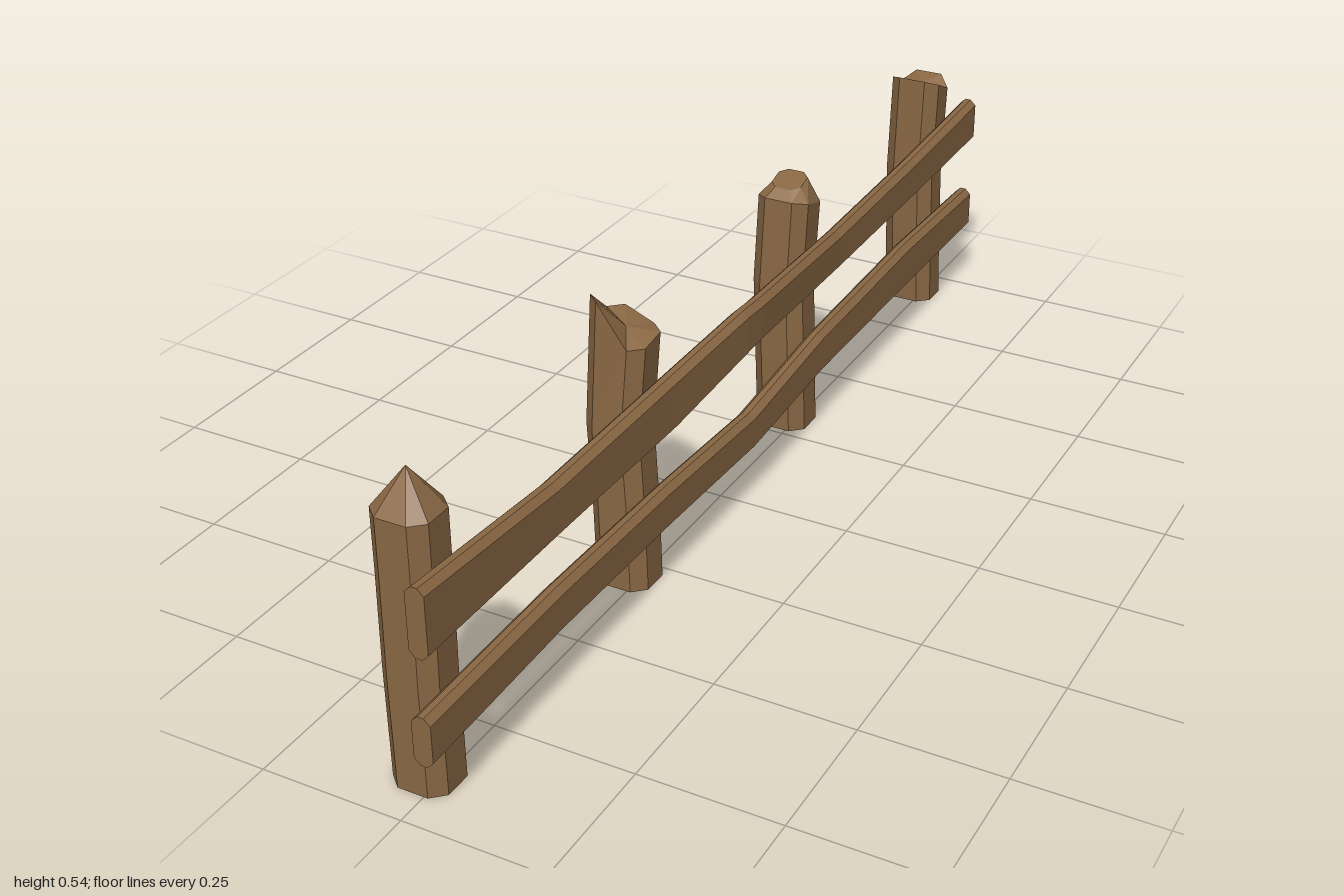
import * as THREE from 'three';

const wood = new THREE.MeshStandardMaterial({
  color: 0x8a6844, roughness: 0.9, flatShading: true, side: THREE.DoubleSide,
});

// Skin a list of equal-length rings; a cap is the fan centre, or null for an open end
function loft(rings, startCap, endCap) {
  const n = rings[0].length;
  const pos = [];
  const tri = (...points) => points.forEach((p) => pos.push(...p));
  for (let j = 0; j < n; j++) {
    const k = (j + 1) % n;
    for (let i = 0; i + 1 < rings.length; i++) {
      const a = rings[i], b = rings[i + 1];
      tri(a[j], a[k], b[k]);
      tri(a[j], b[k], b[j]);
    }
    const first = rings[0], last = rings[rings.length - 1];
    if (startCap) tri(startCap, first[k], first[j]);
    if (endCap) tri(endCap, last[j], last[k]);
  }
  const geometry = new THREE.BufferGeometry();
  geometry.setAttribute('position', new THREE.Float32BufferAttribute(pos, 3));
  geometry.computeVertexNormals();
  return geometry;
}

const centroid = (ring) => [0, 1, 2].map((a) => ring.reduce((s, p) => s + p[a], 0) / ring.length);

// Square section with cut corners
const section = [
  [0.05, 0.027], [0.05, -0.027], [0.027, -0.05], [-0.027, -0.05],
  [-0.05, -0.027], [-0.05, 0.027], [-0.027, 0.05], [0.027, 0.05],
];

// path: [y, x offset, z offset] up the trunk; the cut top follows topHeight(x, z)
function post(name, z, { path, topHeight, depth = 0.046, inset, tip }) {
  const ring = ([y, dx, dz], scale = 1, height = null) => section.map(([sx, sz]) => [
    -0.02 + dx + sx * scale,
    height ? height(sx, sz) : y,
    z + dz + sz * scale * depth / 0.05,
  ]);
  const last = path[path.length - 1];
  const rings = path.map((p, i) => ring(p, 1, i === path.length - 1 ? topHeight : null));
  if (inset) rings.push(ring(last, inset.scale, inset.height));
  const cap = centroid(rings[rings.length - 1]);
  if (tip) cap[1] = tip;
  const mesh = new THREE.Mesh(loft(rings, null, cap), wood);
  mesh.name = name;
  return mesh;
}

// stations: [z, bottom, top, x centre], in order of rising z
function rail(name, stations) {
  const w = 0.0165, c = 0.011;
  const rings = stations.map(([z, lo, hi, x]) => [
    [x + w, lo + c, z], [x + w, hi - c, z], [x + w - c, hi, z], [x - w + c, hi, z],
    [x - w, hi - c, z], [x - w, lo + c, z], [x - w + c, lo, z], [x + w - c, lo, z],
  ]);
  const mesh = new THREE.Mesh(loft(rings, centroid(rings[0]), centroid(rings[rings.length - 1])), wood);
  mesh.name = name;
  return mesh;
}

export function createModel() {
  const fence = new THREE.Group();
  fence.name = 'fence';

  // Posts, each with its own cut top
  fence.add(
    post('pointedPost', 0.895, {
      path: [[0, 0, 0], [0.2, -0.002, 0], [0.37, 0, 0], [0.475, 0, 0]],
      topHeight: () => 0.475,
      tip: 0.543,
    }),
    post('splinteredPost', 0.295, {
      path: [[0, 0, 0], [0.15, -0.003, 0.001], [0.3, -0.01, 0.002], [0.47, 0.001, -0.004]],
      topHeight: (x, z) => (x > 0 ? (z > 0 ? 0.46 : 0.468) : z > 0 ? 0.535 : 0.49),
      tip: 0.478,
    }),
    post('bluntPost', -0.305, {
      path: [[0, 0, -0.004], [0.15, -0.002, 0.002], [0.3, -0.006, 0.004], [0.46, 0, -0.002]],
      topHeight: (x, z) => 0.462 + z * 0.25,
      inset: { scale: 0.58, height: (x, z) => 0.498 - z * 0.15 },
    }),
    post('notchedPost', -0.908, {
      path: [[0, 0, -0.009], [0.15, -0.002, 0], [0.3, -0.004, 0.004], [0.47, 0, 0]],
      depth: 0.044,
      topHeight: (x, z) => (z > 0.04 ? 0.497 : z > 0 ? 0.488 : z > -0.04 ? 0.465 : 0.484),
      tip: 0.474,
    }),
  );

  // Warped rails along one side of the posts
  fence.add(
    rail('upperRail', [
      [-1, 0.33, 0.42, 0.05], [-0.7, 0.317, 0.4, 0.046], [-0.36, 0.311, 0.39, 0.046],
      [0, 0.33, 0.412, 0.063], [0.05, 0.327, 0.415, 0.063], [0.28, 0.299, 0.4, 0.051],
      [0.63, 0.291, 0.387, 0.042], [0.98, 0.289, 0.41, 0.041],
    ]),
    rail('lowerRail', [
      [-1, 0.134, 0.22, 0.05], [-0.68, 0.134, 0.228, 0.05], [-0.28, 0.131, 0.215, 0.05],
      [0, 0.112, 0.188, 0.051], [0.3, 0.123, 0.203, 0.05], [0.65, 0.129, 0.211, 0.05],
      [1, 0.118, 0.205, 0.05],
    ]),
  );
  return fence;
}
